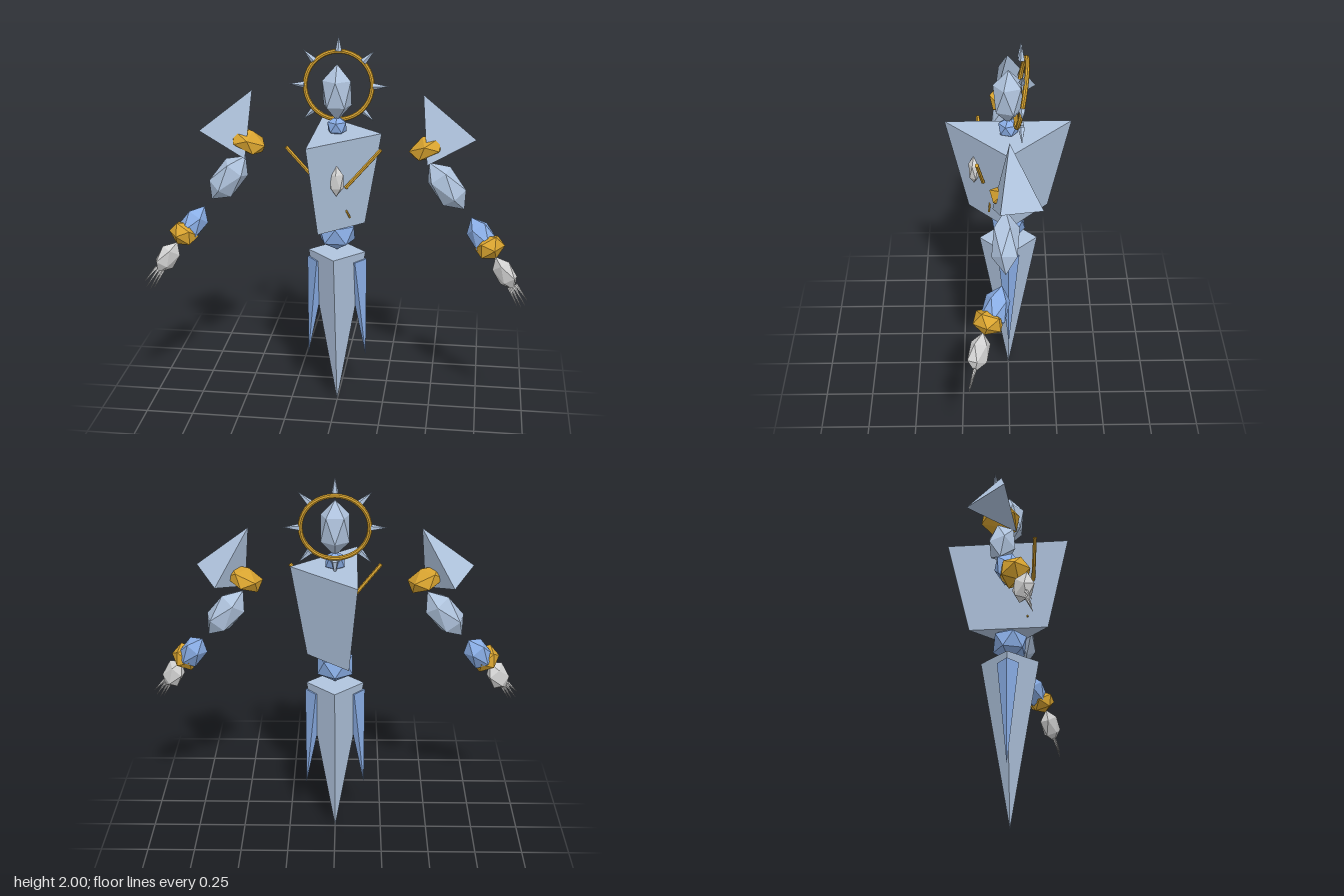
import * as THREE from 'three';
import { ConvexGeometry } from 'three/addons/geometries/ConvexGeometry.js';

const V = (x, y, z) => new THREE.Vector3(x, y, z);
const UP = V(0, 1, 0);

function material(name, color) {
  const m = new THREE.MeshStandardMaterial({ color, flatShading: true });
  m.name = name;
  return m;
}

export function createModel() {
  const root = new THREE.Group();
  root.name = 'crystalGolem';
  const steel = material('paleSteel', 0xb0c4de);
  const blue = material('crystalBlue', 0x8aaee6);
  const gold = material('gold', 0xdaa530);
  const grey = material('lightGrey', 0xd3d3d3);

  function add(parent, name, geometry, mat) {
    const mesh = new THREE.Mesh(geometry, mat);
    mesh.name = name;
    parent.add(mesh);
    return mesh;
  }

  // Twenty-sided stone with its poles along dir
  function stone(parent, name, mat, center, radii, dir = UP) {
    const g = new THREE.IcosahedronGeometry(1, 0);
    g.rotateZ(Math.atan2(0.5257, 0.8507));
    g.rotateY(Math.PI / 10);
    g.scale(...radii);
    const mesh = add(parent, name, g, mat);
    mesh.position.copy(center);
    mesh.quaternion.setFromUnitVectors(UP, dir.clone().normalize());
    return mesh;
  }

  // Tapered rod between two points
  function rod(parent, name, mat, from, to, r0, r1, sides) {
    const d = to.clone().sub(from);
    const mesh = add(parent, name, new THREE.CylinderGeometry(r1, r0, d.length(), sides), mat);
    mesh.position.copy(from).add(to).multiplyScalar(0.5);
    mesh.quaternion.setFromUnitVectors(UP, d.normalize());
    return mesh;
  }

  // Head and neck
  stone(root, 'head', steel, V(0, 1.722, 0), [0.084, 0.145, 0.084]);
  stone(root, 'neck', blue, V(0, 1.55, 0), [0.055, 0.055, 0.055]);

  // Halo, leaning back, with upright ring of spikes
  const halo = new THREE.Group();
  halo.name = 'halo';
  halo.position.set(0, 1.745, -0.063);
  root.add(halo);
  const ring = add(halo, 'haloRing', new THREE.TorusGeometry(0.17, 0.012, 8, 40), gold);
  ring.rotation.x = -0.16;
  for (let i = 0; i < 8; i++) {
    const a = (i * Math.PI) / 4;
    const d = V(Math.cos(a), Math.sin(a), 0);
    rod(halo, 'haloSpike', steel, d.clone().multiplyScalar(0.175), d.clone().multiplyScalar(0.255), 0.018, 0, 5);
  }

  // Three-sided torso with the sharp edge towards +x
  const torsoShape = new THREE.CylinderGeometry(0.226, 0.145, 0.48, 3);
  torsoShape.rotateY(Math.PI / 2);
  torsoShape.scale(1, 1, 1.63);
  add(root, 'torso', torsoShape, steel).position.y = 1.28;
  stone(root, 'chestGem', grey, V(0.018, 1.317, 0.173), [0.042, 0.08, 0.03]);

  // Waist and the tapering lower body
  stone(root, 'waist', blue, V(0, 0.982, 0), [0.107, 0.095, 0.098]);
  rod(root, 'lowerSpike', steel, V(0, 0.88, 0), V(0, 0, 0), 0.15, 0, 4);

  for (const s of [1, -1]) {
    const P = (x, y, z) => V(s * x, y, z);
    const side = s > 0 ? 'left' : 'right';

    rod(root, side + 'Fin', blue, P(0.1, 0.835, 0), P(0.155, 0.28, 0), 0.056, 0, 4);
    rod(root, side + 'ChestBar', gold, P(0.235, 1.48, 0.154), P(0.06, 1.27, 0.128), 0.01, 0.01, 6);
    rod(root, side + 'BellyBar', gold, P(0.02, 1.2, 0.085), P(0.08, 1.1, 0.1), 0.005, 0.005, 6);

    const arm = new THREE.Group();
    arm.name = side + 'Arm';
    root.add(arm);

    // Shoulder blade and joint
    const blade = [P(0.43, 1.725, 0), P(0.7, 1.515, 0.045), P(0.59, 1.46, -0.155), P(0.46, 1.385, 0.08)];
    add(arm, 'shoulderBlade', new ConvexGeometry(blade), steel);
    stone(arm, 'shoulderJoint', gold, P(0.457, 1.457, 0), [0.105, 0.06, 0.105], P(-0.45, 0.89, 0));

    // Arm stones
    stone(arm, 'upperArm', steel, P(0.56, 1.263, 0.02), [0.083, 0.152, 0.075], P(0.185, -0.24, 0));
    stone(arm, 'forearm', blue, P(0.747, 1.018, 0.07), [0.069, 0.112, 0.069], P(0.11, -0.17, 0.06));
    stone(arm, 'bracer', gold, P(0.788, 0.977, 0.103), [0.08, 0.066, 0.08], P(0.11, -0.17, 0.06));

    // Hand and fingers
    stone(arm, 'hand', grey, P(0.868, 0.857, 0.148), [0.068, 0.095, 0.042], P(0.1, -0.16, 0.04));
    const tips = [[0.985, 0.735], [0.976, 0.706], [0.957, 0.694], [0.936, 0.702]];
    tips.forEach(([x, y], i) => {
      const base = P(0.925 - i * 0.011, 0.807 - i * 0.006, 0.165);
      rod(arm, 'finger', grey, base, P(x, y, 0.195), 0.009, 0.001, 5);
    });
  }

  return root;
}
